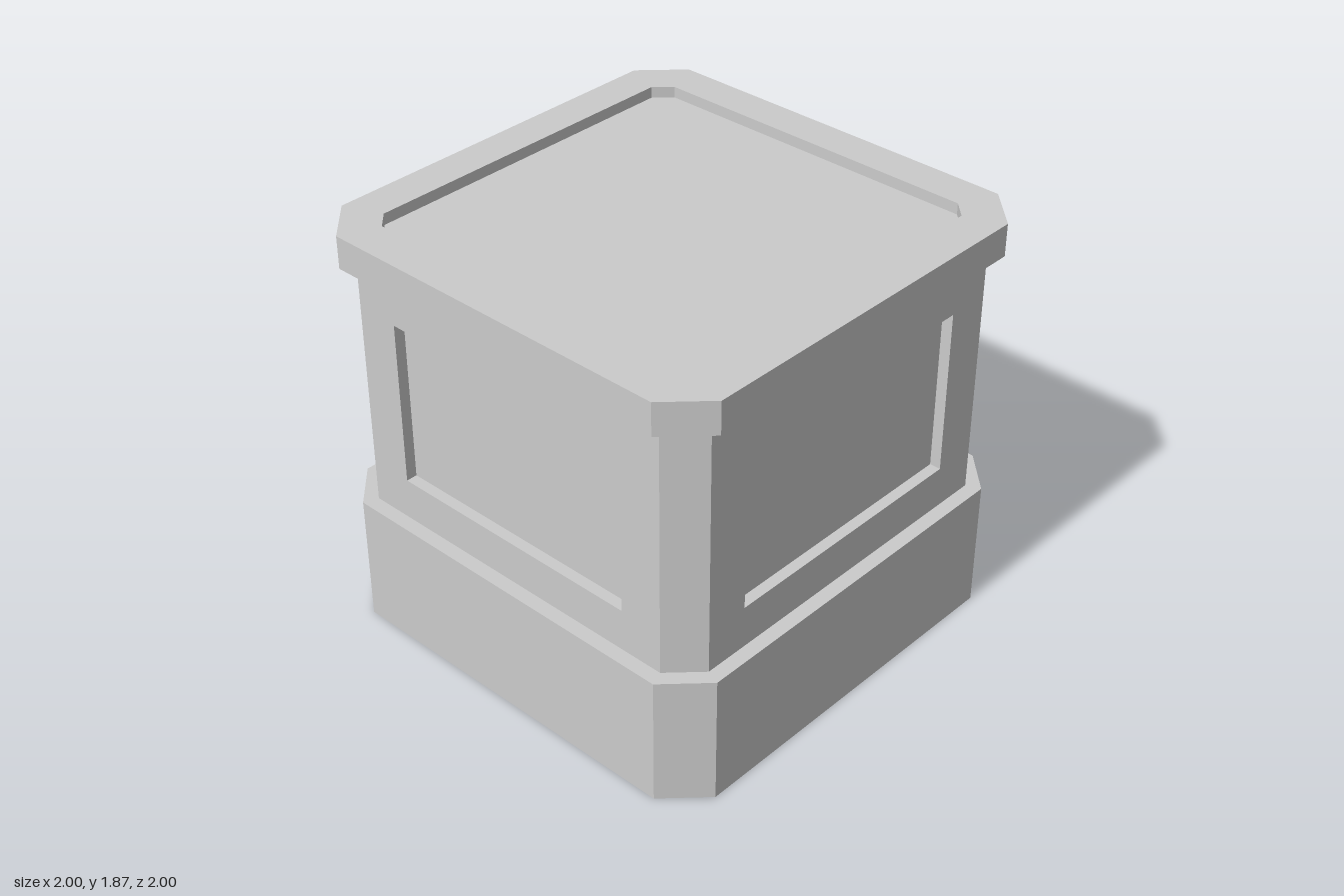
import * as THREE from 'three';

const material = new THREE.MeshStandardMaterial({ color: 0xcccccc, flatShading: true, side: THREE.DoubleSide });

// Square ring with chamfered corners: h = half width, c = half length of the straight side
const outline = (h, c) => [[h, c], [c, h], [-c, h], [-h, c], [-h, -c], [-c, -h], [c, -h], [h, -c]];
const ring = (h, c, y) => outline(h, c).map(([x, z]) => new THREE.Vector3(x, y, z));

// Skin closed rings one after another; step 2 skins every other side only
function loft(rings, step = 1) {
  const points = [];
  for (let r = 0; r < rings.length - 1; r++) {
    const a = rings[r], b = rings[r + 1];
    for (let i = 0; i < a.length; i += step) {
      const j = (i + 1) % a.length;
      points.push(a[i], b[i], a[j], a[j], b[i], b[j]);
    }
  }
  const geometry = new THREE.BufferGeometry().setFromPoints(points);
  geometry.computeVertexNormals();
  return geometry;
}

function add(parent, name, geometry) {
  const mesh = new THREE.Mesh(geometry, material);
  mesh.name = name;
  parent.add(mesh);
  return mesh;
}

const rectangle = (w, y0, y1) => [[-w, y0], [w, y0], [w, y1], [-w, y1]].map(([x, y]) => new THREE.Vector2(x, y));

export function createModel() {
  const model = new THREE.Group();
  model.name = 'pedestal';

  const bodyHalf = 0.935, bodySide = 0.805;
  const baseTop = 0.59, lidBottom = 1.72, lidTop = 1.865, recess = 0.05;

  // Hollow base, open underneath, with a ledge in to the body
  add(model, 'base', loft([
    ring(1, 0.83, 0), ring(1, 0.83, baseTop), ring(bodyHalf, bodySide, baseTop),
  ]));

  // Chamfered corners of the body
  add(model, 'bodyCorners', loft([
    ring(bodyHalf, bodySide, baseTop), ring(bodyHalf, bodySide, lidBottom),
  ], 2));

  // Four sides, each a frame around a sunken panel
  const opening = rectangle(0.607, 0.78, 1.525);
  const frame = new THREE.Shape(rectangle(bodySide, baseTop, lidBottom));
  frame.holes.push(new THREE.Path(opening));
  const frameGeometry = new THREE.ShapeGeometry(frame).translate(0, 0, bodyHalf);
  const panelGeometry = new THREE.ShapeGeometry(new THREE.Shape(opening)).translate(0, 0, bodyHalf - recess);
  const atDepth = (z) => opening.map((p) => new THREE.Vector3(p.x, p.y, z));
  const revealGeometry = loft([atDepth(bodyHalf - recess), atDepth(bodyHalf)]);
  ['front', 'left', 'back', 'right'].forEach((name, i) => {
    const side = new THREE.Group();
    side.name = name + 'Side';
    side.rotation.y = i * Math.PI / 2;
    add(side, 'frame', frameGeometry);
    add(side, 'reveal', revealGeometry);
    add(side, 'panel', panelGeometry);
    model.add(side);
  });

  // Overhanging lid with a raised rim
  add(model, 'lid', loft([
    ring(bodyHalf, bodySide, lidBottom), ring(1, 0.83, lidBottom), ring(1, 0.83, lidTop),
    ring(0.83, 0.76, lidTop), ring(0.83, 0.76, lidTop - recess),
  ]));

  // Sunken floor inside the rim
  const floor = new THREE.Shape(outline(0.83, 0.76).map(([x, y]) => new THREE.Vector2(x, y)));
  add(model, 'lidFloor', new THREE.ShapeGeometry(floor).rotateX(-Math.PI / 2).translate(0, lidTop - recess, 0));

  return model;
}
